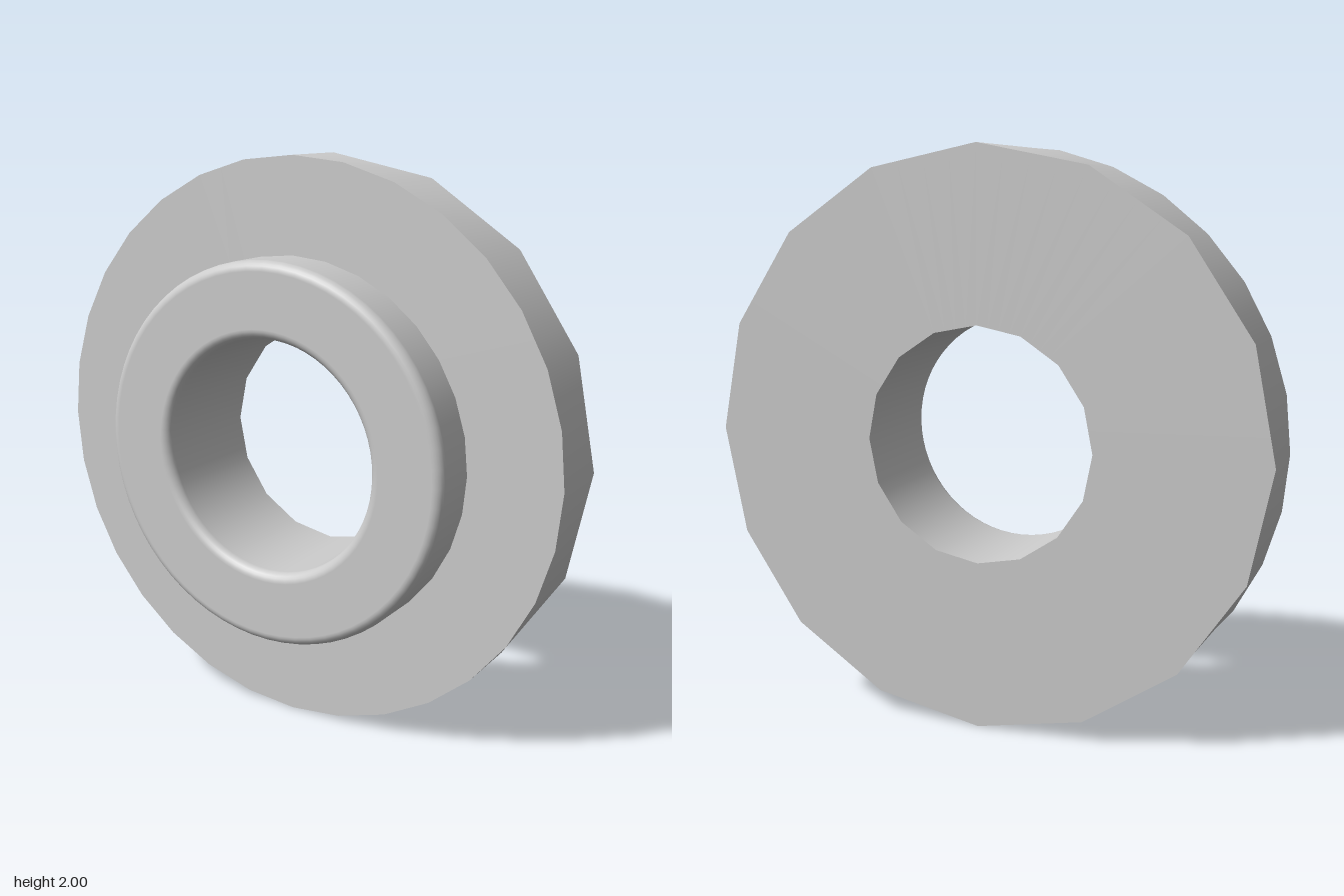
import * as THREE from 'three';

const SEG = 64;
const BACK = -0.223, STEP = 0.04, FRONT = 0.223; // z of back, flange face, boss face
const FLANGE = 1, BOSS = 0.67, BORE = 0.408, FILLET = 0.035;

// Radius of a regular polygon (first corner at the top) in direction a
function polygonRadius(r, sides, a) {
  const step = (2 * Math.PI) / sides;
  const k = a / step - Math.floor(a / step + 1e-6);
  return (r * Math.cos(step / 2)) / Math.cos(k * step - step / 2);
}

// Band swept round the z axis through rows of [radius, z, sides, radial normal, z normal]
function band(rows) {
  const pos = [], nor = [], index = [];
  for (const [r, z, sides, nr, nz] of rows) {
    for (let i = 0; i <= SEG; i++) {
      const a = (i / SEG) * 2 * Math.PI, s = Math.sin(a), c = Math.cos(a);
      const pr = polygonRadius(r, sides, a);
      pos.push(pr * s, pr * c, z);
      nor.push(nr * s, nr * c, nz);
    }
  }
  for (let j = 0; j < rows.length - 1; j++) {
    for (let i = 0; i < SEG; i++) {
      const a = j * (SEG + 1) + i, b = a + SEG + 1;
      index.push(a, b, a + 1, b, b + 1, a + 1);
    }
  }
  const g = new THREE.BufferGeometry();
  g.setAttribute('position', new THREE.Float32BufferAttribute(pos, 3));
  g.setAttribute('normal', new THREE.Float32BufferAttribute(nor, 3));
  g.setIndex(index);
  return g;
}

// Quarter-round rows, turning from angle t0 to t1 about (r, z)
function fillet(r, z, t0, t1) {
  const rows = [];
  for (let i = 0; i <= 6; i++) {
    const t = t0 + ((t1 - t0) * i) / 6, c = Math.cos(t), s = Math.sin(t);
    rows.push([r + FILLET * c, z + FILLET * s, SEG, c, s]);
  }
  return rows;
}

export function createModel() {
  const model = new THREE.Group();
  model.name = 'flangedRing';
  const material = new THREE.MeshStandardMaterial({ color: 0xcccccc });
  const add = (name, rows) => {
    const mesh = new THREE.Mesh(band(rows), material);
    mesh.name = name;
    mesh.position.y = 1;
    model.add(mesh);
  };

  // Flange: coarse at the back, finer at the front
  add('flangeBack', [[BORE, BACK, 16, 0, -1], [FLANGE, BACK, 16, 0, -1]]);
  add('flangeRim', [[FLANGE, BACK, 16, 1, 0], [FLANGE, STEP, 32, 1, 0]]);
  add('flangeFront', [[FLANGE, STEP, 32, 0, 1], [BOSS, STEP, 32, 0, 1]]);

  // Raised boss with rounded outer and inner edges, running into the bore
  add('bossAndBore', [
    [BOSS, STEP, 32, 1, 0],
    ...fillet(BOSS - FILLET, FRONT - FILLET, 0, Math.PI / 2),
    ...fillet(BORE + FILLET, FRONT - FILLET, Math.PI / 2, Math.PI),
    [BORE, BACK, 16, -1, 0],
  ]);
  return model;
}
